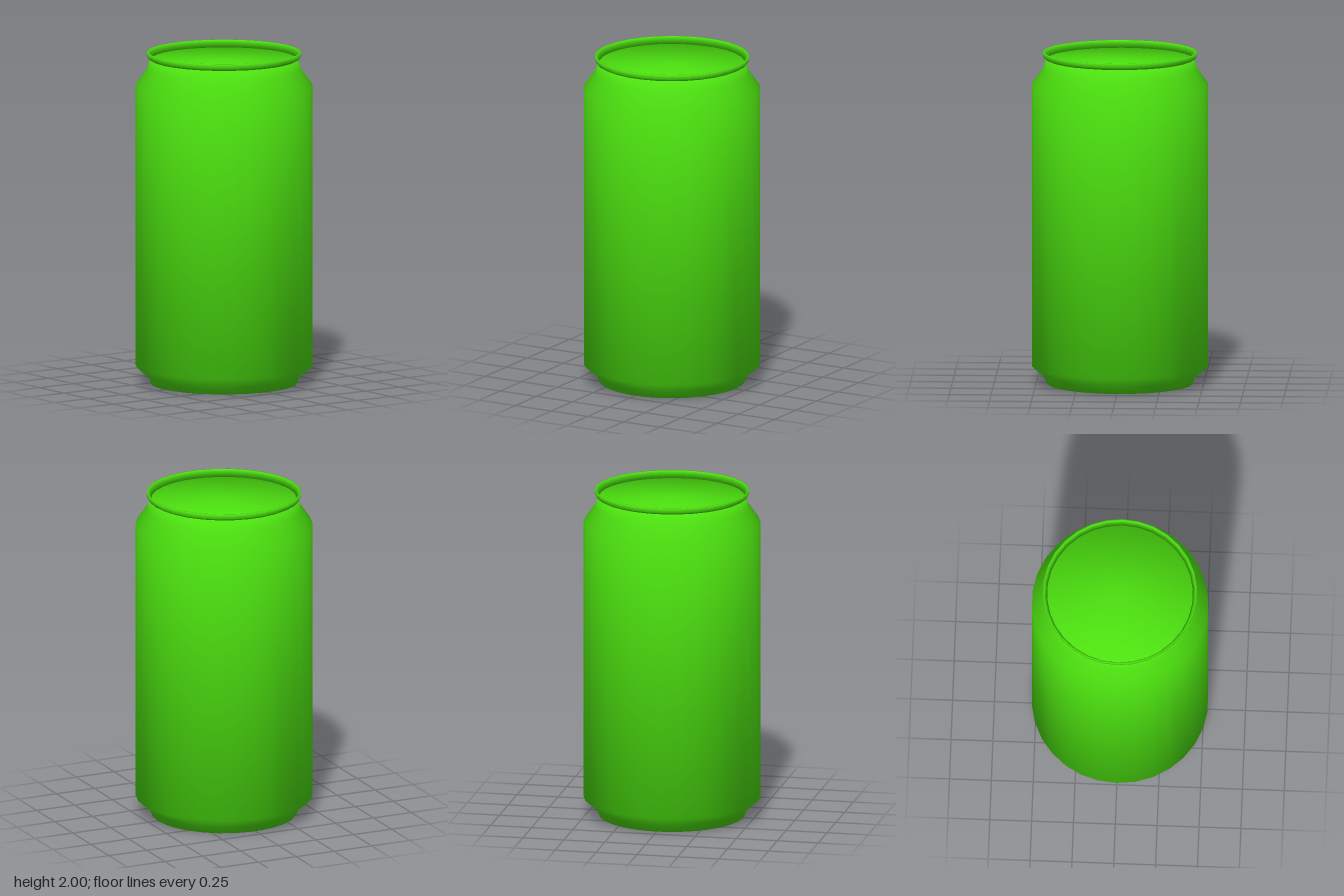
import * as THREE from 'three';

const SIDES = 30;

// Revolve a [radius, y] profile; each normal is the even average of the two neighbouring segments.
function revolve(profile, closed, name, material) {
  const pts = profile.map(([r, y]) => new THREE.Vector2(r, y));
  if (closed) pts.push(pts[0].clone());
  const n = pts.length;
  const seg = [];
  for (let j = 0; j < n - 1; j++) {
    const d = pts[j + 1].clone().sub(pts[j]).normalize();
    seg.push(new THREE.Vector2(d.y, -d.x));
  }
  const normals = pts.map((_, j) => {
    const before = seg[j - 1] || (closed ? seg[n - 2] : seg[0]);
    const after = seg[j] || (closed ? seg[0] : seg[n - 2]);
    return before.clone().add(after).normalize();
  });
  const geometry = new THREE.LatheGeometry(pts, SIDES);
  const normal = geometry.attributes.normal;
  for (let i = 0; i <= SIDES; i++) {
    const a = (i / SIDES) * Math.PI * 2;
    normals.forEach((v, j) =>
      normal.setXYZ(i * n + j, v.x * Math.sin(a), v.y, v.x * Math.cos(a)));
  }
  const mesh = new THREE.Mesh(geometry, material);
  mesh.name = name;
  return mesh;
}

export function createModel() {
  const group = new THREE.Group();
  group.name = 'drinkCan';

  const green = new THREE.MeshStandardMaterial({ color: 0x4ce00f });
  green.name = 'green';

  // Can body: flat base, foot, straight wall, neck and flat lid
  group.add(revolve([
    [0, 0], [0.437, 0], [0.455, 0.045], [0.527, 0.105],
    [0.527, 1.805], [0.46, 1.9], [0.443, 1.957], [0, 1.957],
  ], false, 'canBody', green));

  // Raised rim around the recessed lid
  group.add(revolve([
    [0.435, 1.956], [0.452, 1.964], [0.458, 1.972], [0.461, 2], [0.452, 2],
  ], true, 'topRim', green));

  return group;
}
